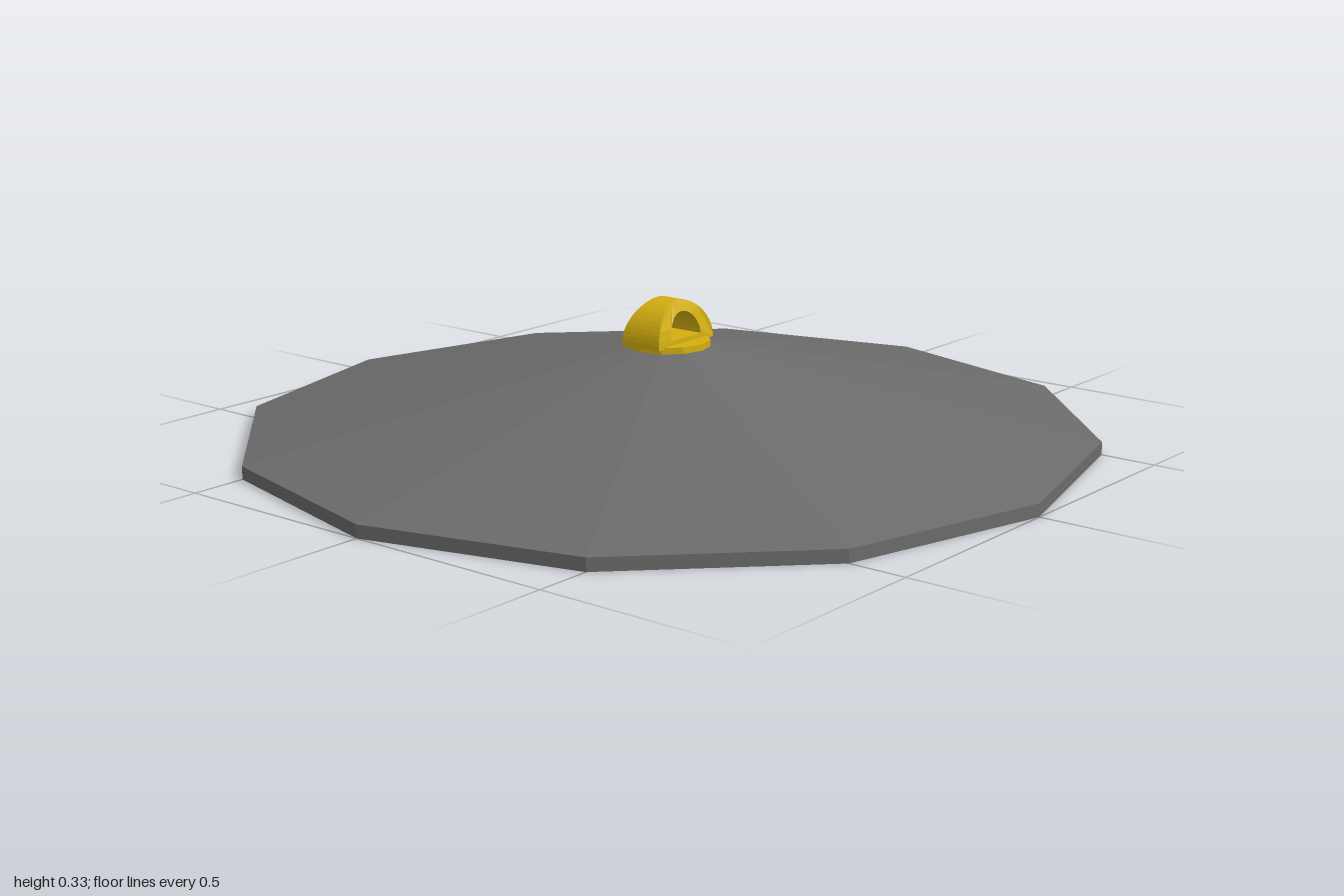
import * as THREE from 'three';

const SIDES = 12;
const v2 = (x, y) => new THREE.Vector2(x, y);

function part(name, geometry, material) {
  const mesh = new THREE.Mesh(geometry, material);
  mesh.name = name;
  return mesh;
}

// D-shaped arch with a hole, wide at its foot and pinched towards the top
function archGeometry() {
  const base = 0.23, top = 0.33, sill = 0.246;
  const shape = new THREE.Shape();
  shape.absarc(0, base, top - base, 0, Math.PI, false);
  shape.closePath();
  const hole = new THREE.Path();
  hole.absellipse(0, sill, 0.054, 0.059, 0, Math.PI, false);
  hole.closePath();
  shape.holes.push(hole);

  const geo = new THREE.ExtrudeGeometry(shape, { depth: 2, bevelEnabled: false, curveSegments: 14 });
  geo.translate(0, 0, -1).rotateY(Math.PI / 2);
  const pos = geo.attributes.position;
  for (let i = 0; i < pos.count; i++) {
    const t = (pos.getY(i) - base) / (top - base);
    pos.setX(i, pos.getX(i) * (0.055 - 0.026 * t * t));
  }
  geo.computeVertexNormals();
  return geo;
}

export function createModel() {
  const model = new THREE.Group();
  model.name = 'lid';
  const grey = new THREE.MeshStandardMaterial({ color: 0x6b6b6b, flatShading: true });
  const gold = new THREE.MeshStandardMaterial({ color: 0xd4af10, flatShading: true });

  // Shallow conical shell: hollow underside, thin rim, sloping top
  const profile = [v2(0, 0.205), v2(1, 0), v2(1, 0.03), v2(0.1, 0.22), v2(0, 0.235)];
  model.add(part('cover', new THREE.LatheGeometry(profile, SIDES), grey));

  // Handle: round plate with a pinched arch
  const handle = new THREE.Group();
  handle.name = 'handle';
  const plate = new THREE.CylinderGeometry(0.1, 0.1, 0.018, SIDES).translate(0, 0.226, 0);
  handle.add(part('handlePlate', plate, gold), part('handleArch', archGeometry(), gold));
  model.add(handle);
  return model;
}
